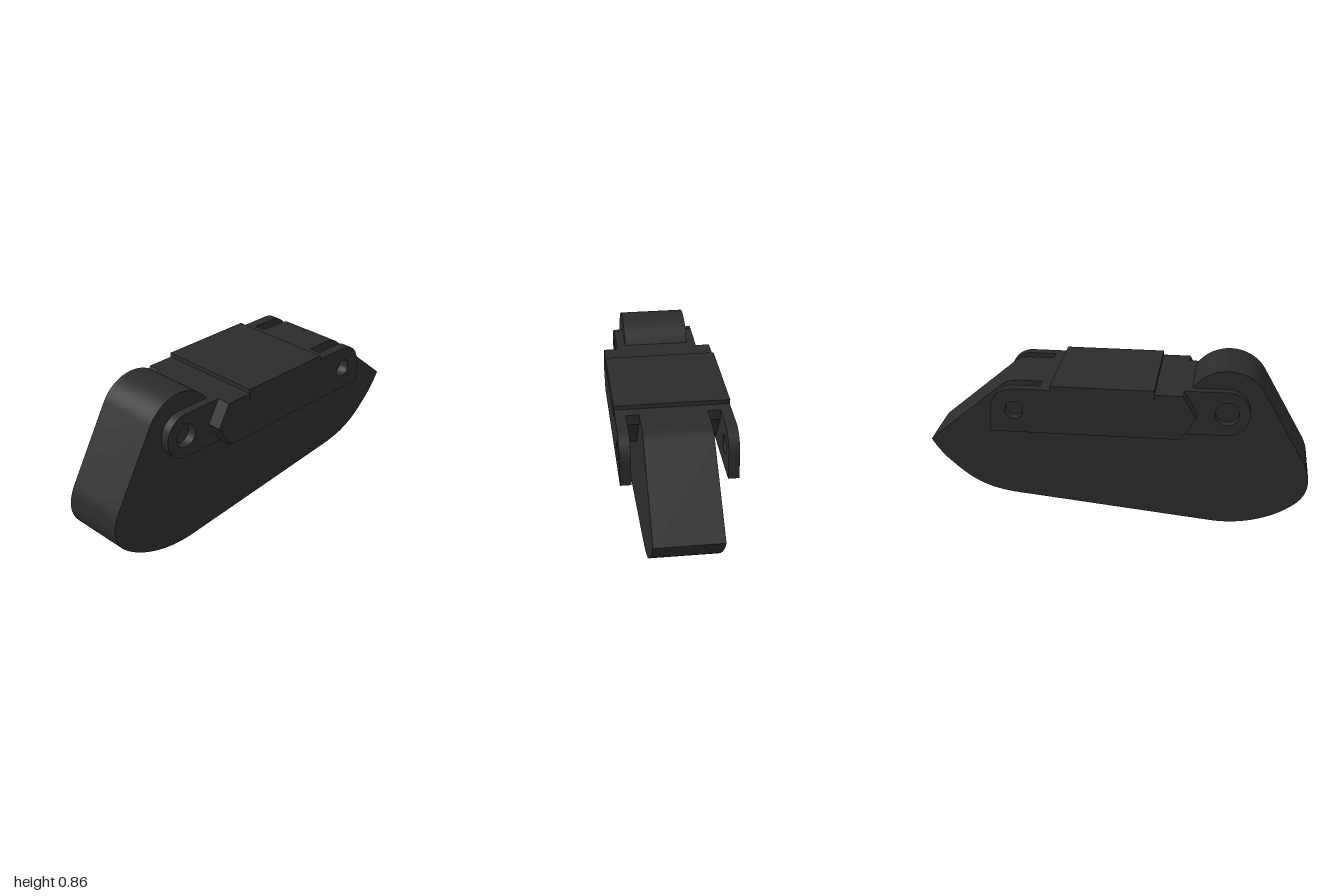
import * as THREE from 'three';
import { toCreasedNormals } from 'three/addons/utils/BufferGeometryUtils.js';

const TOP = 0.763, BOTTOM = 0.525, PIVOT_Y = 0.645;
const REAR_X = -0.565, FRONT_X = 0.52;
const material = new THREE.MeshStandardMaterial({ color: 0x2b2b2b });

// Extrude a side profile between two depths
function slab(name, shape, z0, z1) {
  const geo = new THREE.ExtrudeGeometry(shape, { depth: z1 - z0, bevelEnabled: false, curveSegments: 16 });
  geo.translate(0, 0, z0);
  const mesh = new THREE.Mesh(toCreasedNormals(geo, 0.45), material);
  mesh.name = name;
  return mesh;
}

function addHole(shape, x, r) {
  const hole = new THREE.Path();
  hole.absarc(x, PIVOT_Y, r, 0, Math.PI * 2, true);
  shape.holes.push(hole);
}

// Curved body with a round hump at one end and a pointed nose at the other
function bodyShape() {
  const s = new THREE.Shape();
  s.moveTo(-0.5, 0.005);
  s.lineTo(0.57, 0.113);
  s.splineThru([[0.68, 0.138], [0.79, 0.19], [0.9, 0.28], [0.96, 0.345], [1, 0.404]]
    .map(p => new THREE.Vector2(...p)));
  s.lineTo(0.605, 0.735);
  s.quadraticCurveTo(0.57, TOP, 0.52, TOP);
  s.lineTo(-0.385, TOP);
  s.absarc(REAR_X, PIVOT_Y, 0.215, 0.578, 2.62, false);
  s.lineTo(-0.966, 0.372);
  s.bezierCurveTo(-1.01, 0.295, -1.015, 0.205, -0.945, 0.138);
  s.bezierCurveTo(-0.85, 0.05, -0.68, -0.012, -0.5, 0.005);
  return s;
}

// Round-ended lug carrying the rear pivot hole
function lugShape() {
  const s = new THREE.Shape();
  s.moveTo(-0.32, BOTTOM);
  s.lineTo(-0.32, TOP);
  s.lineTo(REAR_X, TOP);
  s.absarc(REAR_X, PIVOT_Y, 0.119, Math.PI / 2, Math.PI * 1.5, false);
  s.lineTo(-0.32, BOTTOM);
  addHole(s, REAR_X, 0.062);
  return s;
}

// Outer cheek: pointed at the rear, rounded top corner at the front
function cheekShape() {
  const s = new THREE.Shape();
  s.moveTo(-0.335, BOTTOM);
  s.lineTo(0.647, BOTTOM);
  s.lineTo(0.643, PIVOT_Y);
  s.absarc(FRONT_X + 0.005, PIVOT_Y, 0.118, 0, Math.PI / 2, false);
  s.lineTo(-0.345, TOP);
  s.lineTo(-0.412, PIVOT_Y);
  s.closePath();
  addHole(s, FRONT_X, 0.047);
  return s;
}

// Filler between cheek and body, undercut at its front end
function fillerShape() {
  return new THREE.Shape([[-0.335, BOTTOM], [0.25, BOTTOM], [0.39, 0.71], [0.39, TOP], [-0.345, TOP], [-0.412, PIVOT_Y]]
    .map(p => new THREE.Vector2(...p)));
}

function box(name, w, h, d, x, y, z) {
  const mesh = new THREE.Mesh(new THREE.BoxGeometry(w, h, d), material);
  mesh.position.set(x, y, z);
  mesh.name = name;
  return mesh;
}

export function createModel() {
  const group = new THREE.Group();
  group.name = 'hingedPad';
  group.add(slab('body', bodyShape(), -0.171, 0.171));

  // Bracket halves on both sides of the body
  for (const side of [1, -1]) {
    const add = (name, shape, a, b) =>
      group.add(slab(name, shape, side > 0 ? a : -b, side > 0 ? b : -a));
    const label = side > 0 ? 'front' : 'back';
    add(label + 'Lug', lugShape(), 0.171, 0.217);
    add(label + 'Filler', fillerShape(), 0.171, 0.235);
    add(label + 'Cheek', cheekShape(), 0.235, 0.29);
    group.add(box(label + 'CapLip', 0.53, 0.055, 0.01, 0.065, 0.758, side * 0.287));
  }

  // Raised cap across the bracket
  group.add(box('cap', 0.53, 0.035, 0.58, 0.065, 0.768, 0));
  return group;
}
